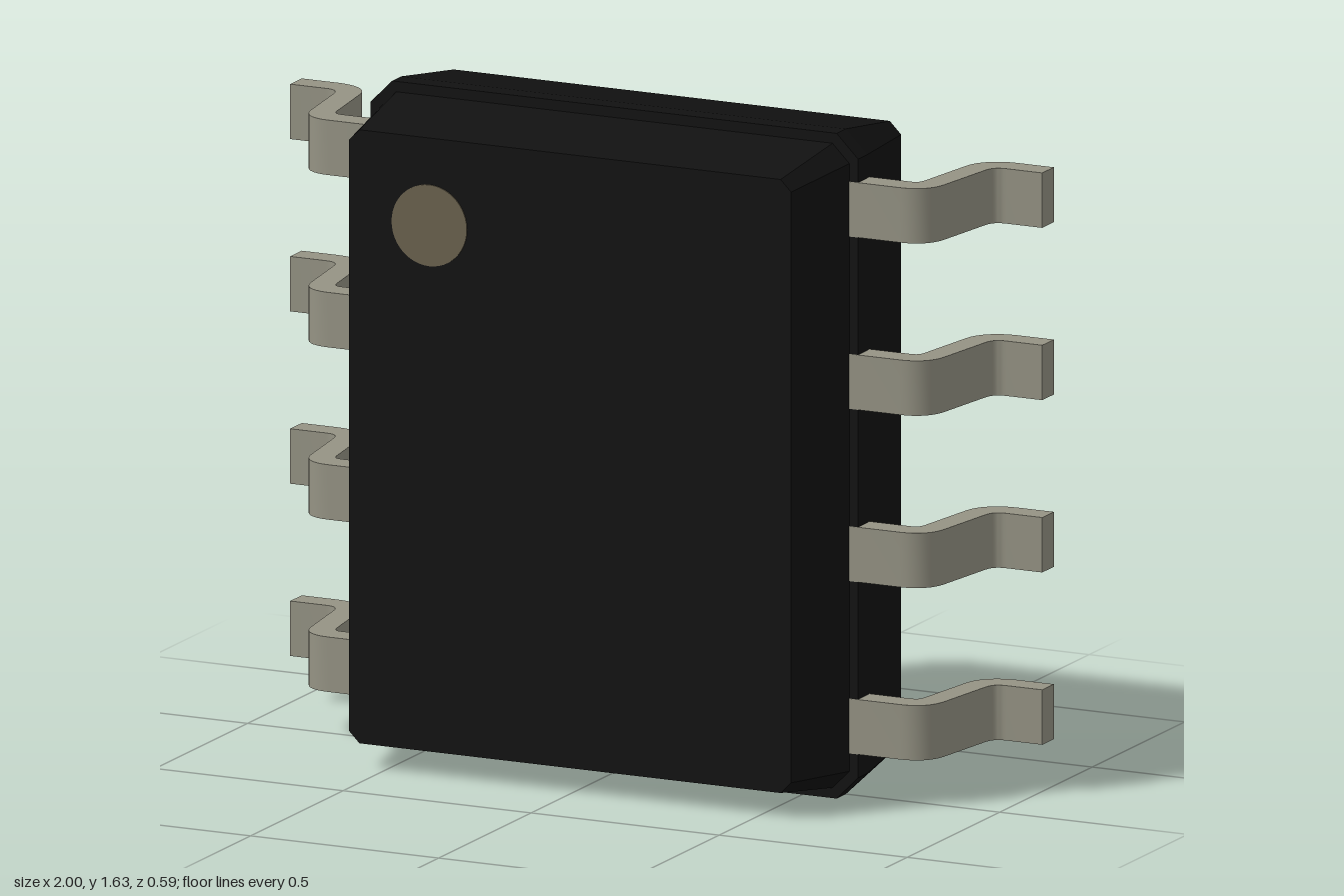
import * as THREE from 'three';
import { toCreasedNormals } from 'three/addons/utils/BufferGeometryUtils.js';

const CY = 0.8175; // height of the body's middle

// Rectangle with cut corners at depth z
function ring(z, w, h, c) {
  return [[w, h - c], [w - c, h], [c - w, h], [-w, h - c],
    [-w, c - h], [c - w, -h], [w - c, -h], [w, c - h]]
    .map(([x, y]) => new THREE.Vector3(x, CY + y, z));
}

// Flat-shaded loft through rings ordered from back to front, with both ends capped
function loft(rings) {
  const pts = [];
  const n = rings[0].length;
  for (let r = 0; r < rings.length - 1; r++) {
    const a = rings[r], b = rings[r + 1];
    for (let i = 0; i < n; i++) {
      const j = (i + 1) % n;
      pts.push(a[i], a[j], b[j], a[i], b[j], b[i]);
    }
  }
  const back = rings[0], front = rings[rings.length - 1];
  for (let i = 1; i < n - 1; i++) {
    pts.push(back[0], back[i + 1], back[i]);
    pts.push(front[0], front[i], front[i + 1]);
  }
  const geo = new THREE.BufferGeometry().setFromPoints(pts);
  geo.computeVertexNormals();
  return geo;
}

// Gull-wing lead: side profile (x, -z) extruded along y
function leadGeometry(width) {
  const s = new THREE.Shape();
  s.moveTo(0.58, -0.051);
  s.lineTo(0.76, -0.051);
  s.bezierCurveTo(0.81, -0.051, 0.836, -0.02, 0.842, 0.02);
  s.lineTo(0.866, 0.195);
  s.bezierCurveTo(0.87, 0.22, 0.882, 0.23, 0.905, 0.23);
  s.lineTo(1, 0.23);
  s.lineTo(1, 0.293);
  s.lineTo(0.905, 0.293);
  s.bezierCurveTo(0.85, 0.293, 0.812, 0.26, 0.806, 0.215);
  s.lineTo(0.782, 0.04);
  s.bezierCurveTo(0.779, 0.02, 0.772, 0.014, 0.755, 0.014);
  s.lineTo(0.58, 0.014);
  s.closePath();
  const geo = new THREE.ExtrudeGeometry(s, { depth: width, bevelEnabled: false, curveSegments: 8 });
  geo.translate(0, 0, -width / 2);
  geo.rotateX(-Math.PI / 2);
  return toCreasedNormals(geo, 0.6);
}

export function createModel() {
  const model = new THREE.Group();
  model.name = 'chipPackage';
  const plastic = new THREE.MeshStandardMaterial({ color: 0x111111 });
  const metal = new THREE.MeshStandardMaterial({ color: 0x959384 });
  const paint = new THREE.MeshStandardMaterial({ color: 0x6b624e });

  // Moulded body: tapered back half, straight belt, stepped-in tapered front half
  const body = new THREE.Mesh(loft([
    ring(-0.26, 0.61, 0.778, 0.03),
    ring(0, 0.648, 0.8175, 0.057),
    ring(0.05, 0.648, 0.8175, 0.057),
    ring(0.05, 0.625, 0.792, 0.045),
    ring(0.29, 0.588, 0.754, 0.028),
  ]), plastic);
  body.name = 'body';
  model.add(body);

  // Round orientation mark on the front face
  const dot = new THREE.Mesh(new THREE.CylinderGeometry(0.1, 0.1, 0.01, 48), paint);
  dot.rotation.x = Math.PI / 2;
  dot.position.set(-0.373, 1.357, 0.288);
  dot.name = 'orientationMark';
  model.add(dot);

  // Four leads on each side
  const leadGeo = leadGeometry(0.135);
  for (const side of [1, -1]) {
    const leads = new THREE.Group();
    leads.name = side > 0 ? 'leftLeads' : 'rightLeads';
    for (let i = 0; i < 4; i++) {
      const lead = new THREE.Mesh(leadGeo, metal);
      lead.name = 'lead';
      lead.position.y = CY + (i - 1.5) * 0.4235;
      if (side < 0) lead.rotation.z = Math.PI;
      leads.add(lead);
    }
    model.add(leads);
  }
  return model;
}
